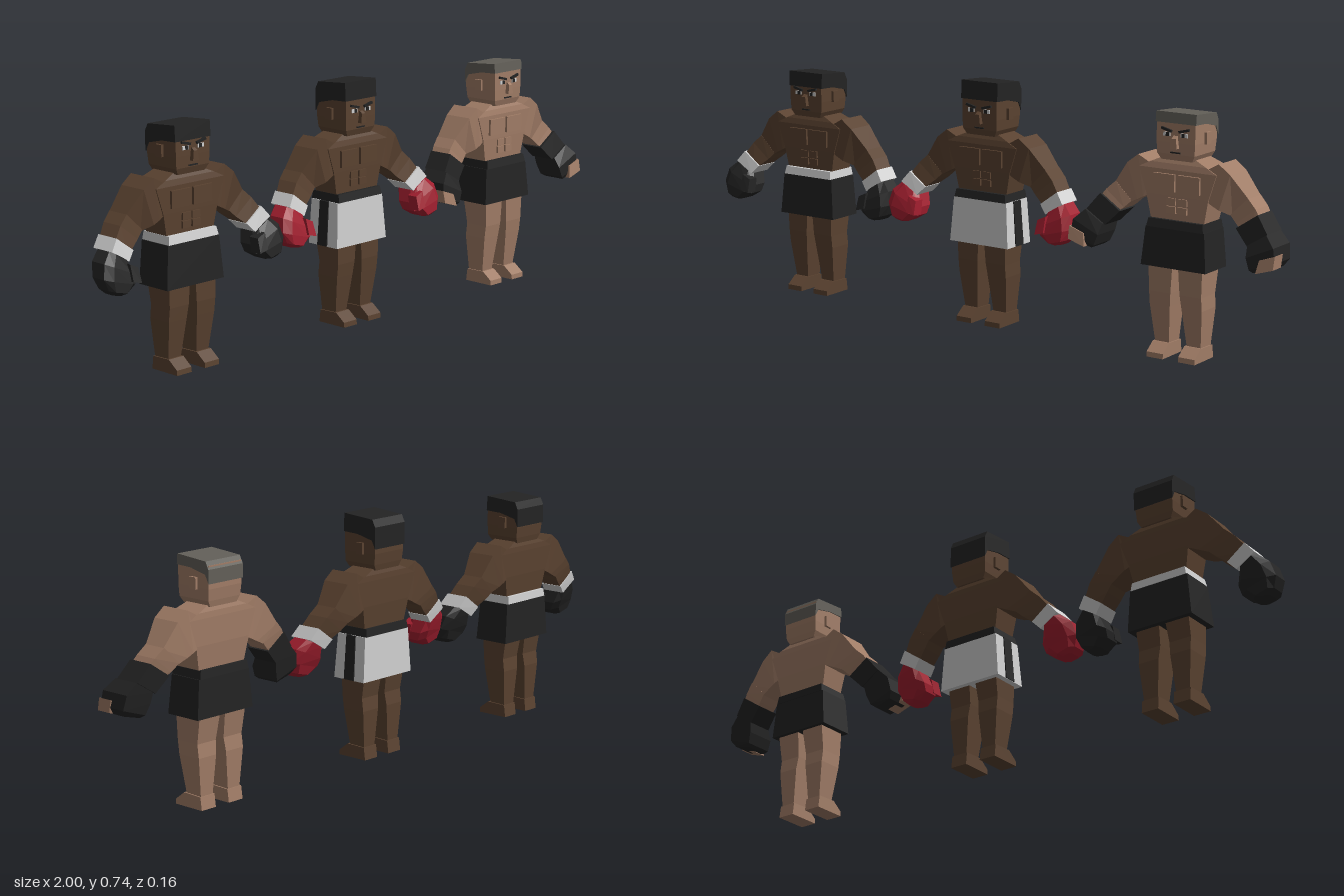
import * as THREE from 'three';

const mat = (name, color) => {
  const m = new THREE.MeshStandardMaterial({ color });
  m.name = name;
  return m;
};

// Joins closed rings of points into a faceted solid, winding it outwards
function loft(rings) {
  const n = rings[0].length, tris = [];
  for (let i = 0; i + 1 < rings.length; i++) {
    for (let j = 0; j < n; j++) {
      const k = (j + 1) % n, a = rings[i], b = rings[i + 1];
      tris.push([a[j], a[k], b[k]], [a[j], b[k], b[j]]);
    }
  }
  const first = rings[0], last = rings[rings.length - 1];
  for (let j = 1; j + 1 < n; j++) {
    tris.push([first[0], first[j + 1], first[j]], [last[0], last[j], last[j + 1]]);
  }
  const V = (p) => new THREE.Vector3(...p);
  const o = V(first[0]);
  let volume = 0;
  for (const [a, b, c] of tris) volume += V(a).sub(o).dot(V(b).sub(o).cross(V(c).sub(o)));
  if (volume < 0) tris.forEach((t) => t.reverse());
  const geo = new THREE.BufferGeometry();
  geo.setAttribute('position', new THREE.Float32BufferAttribute(tris.flat(2), 3));
  geo.computeVertexNormals();
  return geo;
}

// Horizontal rectangle at height y
const level = (y, x0, x1, zf, zb) => [[x0, y, zf], [x1, y, zf], [x1, y, zb], [x0, y, zb]];
const band = (y, half, zf, zb) => level(y, -half, half, zf, zb);

// Arm section from an outer to an inner point; bevel cuts the corners
function section(s, [ox, oy, ix, iy, zf, zb], bevel = 0) {
  const at = (t, z) => [s * (ox + (ix - ox) * t), oy + (iy - oy) * t, z];
  if (!bevel) return [at(0, zf), at(1, zf), at(1, zb), at(0, zb)];
  const b = bevel, d = (zf - zb) * b;
  return [at(b, zf), at(1 - b, zf), at(1, zf - d), at(1, zb + d),
    at(1 - b, zb), at(b, zb), at(0, zb + d), at(0, zf - d)];
}

function fighter(o) {
  const body = new THREE.Group();
  const upper = new THREE.Group();
  upper.name = 'upperBody';
  upper.position.y = o.drop;
  body.add(upper);
  const add = (parent, name, geo, material) => {
    const m = new THREE.Mesh(geo, material);
    m.name = name;
    parent.add(m);
    return m;
  };
  const box = (parent, name, size, pos, material, tilt = 0) => {
    const m = add(parent, name, new THREE.BoxGeometry(...size), material);
    m.position.set(...pos);
    m.rotation.z = tilt;
  };

  // Torso
  add(upper, 'torso', loft([
    band(0.38, 0.082, 0.026, -0.055), band(0.47, 0.1, 0.031, -0.064),
    band(0.545, 0.125, 0.032, -0.066), band(0.562, 0.09, 0.028, -0.065),
    band(0.58, 0.048, 0.02, -0.06)]), o.skin);

  // Head
  add(upper, 'head', loft([
    band(0.574, 0.05, 0.036, -0.068), band(0.592, 0.06, 0.042, -0.072),
    band(0.625, 0.062, 0.043, -0.076), band(o.hairline + 0.01, 0.062, 0.043, -0.076)]), o.skin);

  // Hair cap with a lower nape
  const h = o.hairline, t = o.hairTop;
  const profile = [[0.045, h], [0.042, t], [-0.068, t - 0.008], [-0.079, t - 0.03],
    [-0.079, h - 0.04], [-0.066, h - 0.015], [-0.01, h - 0.002]];
  const hair = new THREE.ExtrudeGeometry(
    new THREE.Shape(profile.map((p) => new THREE.Vector2(...p))),
    { depth: 0.13, bevelEnabled: false });
  hair.translate(0, 0, -0.065).rotateY(-Math.PI / 2);
  add(upper, 'hair', hair, o.hair);

  // Nose and mouth
  add(upper, 'nose', loft([band(0.61, 0.011, 0.056, 0.04),
    band(0.638, 0.007, 0.055, 0.04), band(0.645, 0.006, 0.046, 0.04)]), o.skin);
  box(upper, 'mouth', [0.032, 0.004, 0.006], [0, 0.597, 0.042], o.black);

  for (const s of [1, -1]) {
    // Face details
    box(upper, 'eye', [0.022, 0.011, 0.006], [s * 0.028, 0.648, 0.043], o.white);
    box(upper, 'pupil', [0.01, 0.011, 0.007], [s * 0.025, 0.648, 0.044], o.black);
    box(upper, 'brow', [0.034, 0.007, 0.009], [s * 0.028, 0.661, 0.045], o.black, s * 0.25);
    box(upper, 'ear', [0.012, 0.034, 0.025], [s * 0.064, 0.637, -0.02], o.skin);

    // Chest and stomach muscles
    box(upper, 'chestMuscle', [0.07, 0.05, 0.014], [s * 0.04, 0.508, 0.032], o.skin);
    for (const y of [0.455, 0.431]) {
      box(upper, 'stomachMuscle', [0.03, 0.02, 0.012], [s * 0.018, y, 0.029], o.skin);
    }

    // Arms
    const limb = (name, rows, material, bevel) =>
      add(upper, name, loft(rows.map((r) => section(s, r, bevel))), material);
    limb('upperArm', [
      [0.08, 0.55, 0.085, 0.47, 0.025, -0.062], [0.13, 0.577, 0.112, 0.457, 0.029, -0.066],
      [0.166, 0.55, 0.132, 0.447, 0.028, -0.064], [0.218, 0.483, 0.165, 0.432, 0.01, -0.058]], o.skin);
    limb('forearm', [
      [0.214, 0.488, 0.16, 0.436, 0.012, -0.06], [0.242, 0.462, 0.182, 0.415, 0.018, -0.052],
      [0.282, 0.408, 0.228, 0.38, 0.032, -0.032]], o.skin);

    if (o.openGloves) {
      // Fingerless gloves with a long wrist wrap and a bare fist
      limb('wristWrap', [
        [0.255, 0.45, 0.188, 0.405, 0.03, -0.05],
        [0.293, 0.402, 0.23, 0.362, 0.042, -0.04]], o.glove);
      limb('glove', [
        [0.293, 0.402, 0.235, 0.366, 0.048, -0.036], [0.324, 0.372, 0.24, 0.335, 0.065, -0.03],
        [0.331, 0.33, 0.252, 0.303, 0.068, -0.022], [0.318, 0.31, 0.262, 0.295, 0.062, -0.01]], o.glove);
      limb('fingers', [
        [0.333, 0.352, 0.285, 0.335, 0.071, 0.025],
        [0.332, 0.315, 0.278, 0.298, 0.079, 0.033]], o.skin);
    } else {
      // Padded gloves with a cuff and thumb
      limb('cuff', [
        [0.268, 0.434, 0.21, 0.392, 0.032, -0.044],
        [0.293, 0.402, 0.234, 0.366, 0.042, -0.036]], o.white);
      limb('glove', [
        [0.292, 0.402, 0.234, 0.367, 0.044, -0.034], [0.323, 0.375, 0.221, 0.33, 0.062, -0.024],
        [0.333, 0.335, 0.224, 0.305, 0.07, -0.01], [0.32, 0.303, 0.255, 0.286, 0.072, 0],
        [0.305, 0.288, 0.272, 0.282, 0.06, 0.015]], o.glove, 0.2);
      limb('thumb', [
        [0.25, 0.365, 0.222, 0.352, 0.064, 0.03],
        [0.25, 0.318, 0.22, 0.31, 0.077, 0.04]], o.glove);
    }

    // Legs and feet
    const x = (a) => s * a;
    add(body, 'leg', loft([
      level(0.29, x(0.008), x(0.088), 0.035, -0.062), level(0.19, x(0.015), x(0.085), 0.033, -0.045),
      level(0.15, x(0.019), x(0.085), 0.028, -0.05), level(0.03, x(0.03), x(0.074), 0.011, -0.044)]), o.skin);
    const sole = (a) => [[0.052, 0], [0.051, 0.015], [0.018, 0.04], [-0.047, 0.038], [-0.052, 0]]
      .map(([z, y]) => [x(a), y, z]);
    add(body, 'foot', loft([sole(0.025), sole(0.079)]), o.skin);

    // Side stripe on the shorts
    if (o.stripe) {
      add(body, 'shortsStripe', loft([
        level(o.waist, x(0.09), x(0.098), 0.005, -0.03),
        level(o.hem + 0.001, x(0.1), x(0.108), 0.007, -0.032)]), o.black);
    }
  }

  // Shorts and waistband
  add(body, 'shorts', loft([
    band(o.hem, 0.105, 0.048, -0.07), band(o.waist, 0.095, 0.041, -0.067)]), o.shorts);
  add(body, 'waistband', loft([
    band(o.waist, 0.092, 0.043, -0.069), band(o.waist + 0.024, 0.088, 0.038, -0.067)]), o.belt);
  return body;
}

export function createModel() {
  const dark = mat('dark skin', 0x5a4230);
  const light = mat('light skin', 0xa07c66);
  const black = mat('black', 0x232323);
  const white = mat('white', 0xd0d0d0);
  const red = mat('red', 0xa01e2e);
  const gray = mat('gray hair', 0x625f58);

  const group = new THREE.Group();
  const fighters = [
    { name: 'rightFighter', x: -0.667, drop: -0.012, skin: dark, hair: black, hairline: 0.668,
      hairTop: 0.714, glove: black, shorts: black, belt: white, waist: 0.372, hem: 0.247 },
    { name: 'middleFighter', x: -0.003, drop: 0, skin: dark, hair: black, hairline: 0.68,
      hairTop: 0.735, glove: red, shorts: white, belt: black, waist: 0.38, hem: 0.245, stripe: true },
    { name: 'leftFighter', x: 0.667, drop: 0, skin: light, hair: gray, hairline: 0.68,
      hairTop: 0.71, glove: black, shorts: black, belt: black, waist: 0.378, hem: 0.266, openGloves: true },
  ];
  for (const f of fighters) {
    const g = fighter({ ...f, black, white });
    g.name = f.name;
    g.position.x = f.x;
    group.add(g);
  }
  return group;
}
